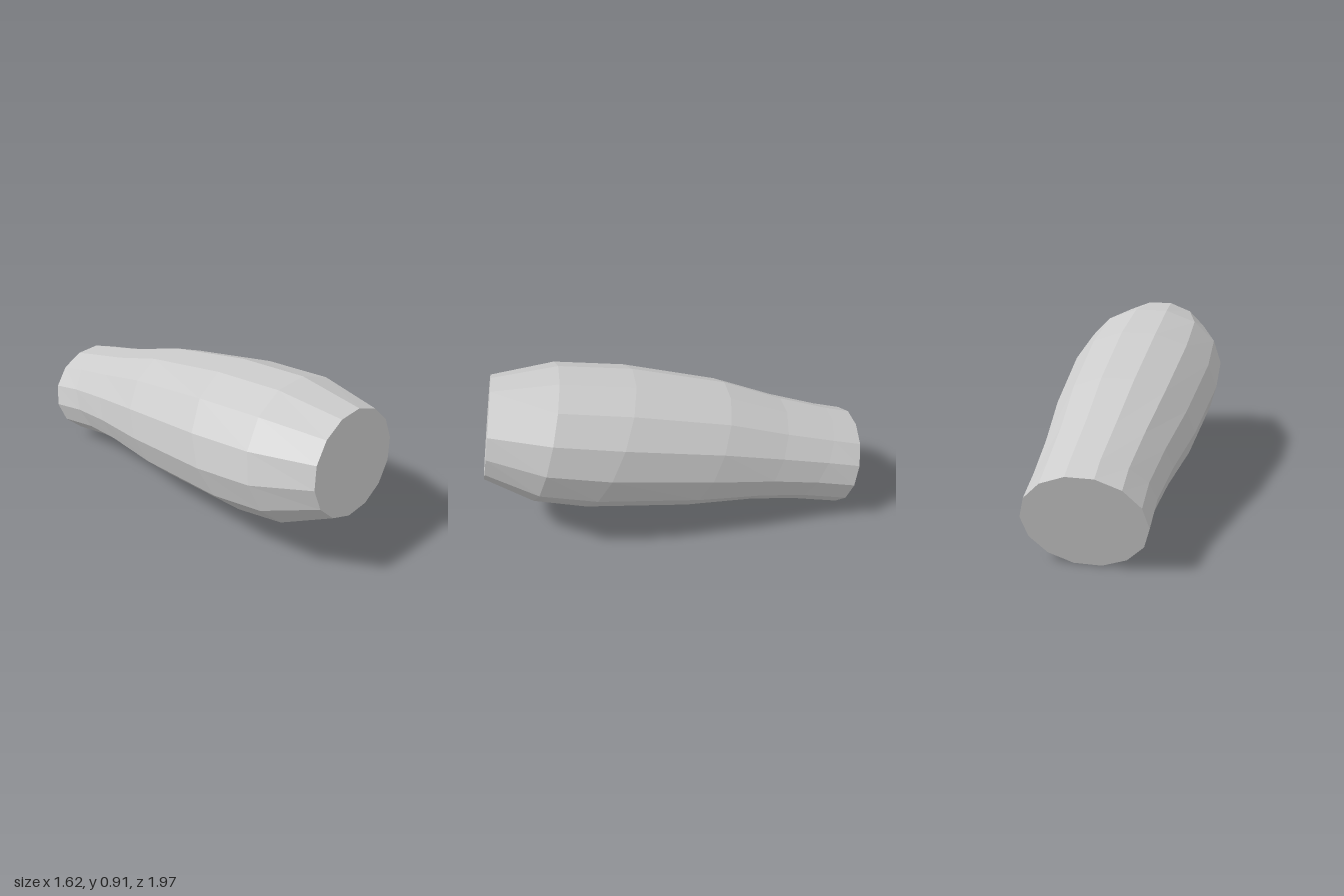
import * as THREE from 'three';

const SIDES = 14;
const ACROSS = new THREE.Vector3(0.818, 0, -0.575);
const ALONG = new THREE.Vector3(0.575, 0, 0.818);

// Leaning oval rings from the front end to the back end:
// [top height, bottom height, top along axis, bottom along axis, side offset, half width]
const RINGS = [
  [0.887, 0.38, 0.94, 1.035, -0.005, 0.305],
  [0.91, 0.24, 0.587, 0.8, -0.009, 0.42],
  [0.857, 0.172, 0.195, 0.54, -0.007, 0.432],
  [0.735, 0.102, -0.31, -0.02, 0, 0.387],
  [0.613, 0.09, -0.63, -0.39, 0.01, 0.335],
  [0.53, 0.062, -0.9, -0.63, 0.016, 0.308],
  [0.49, 0, -1.04, -0.92, 0.012, 0.306],
];

// Point on a ring: u runs across, v runs up (both -1 to 1)
function ringPoint([top, bottom, sTop, sBottom, offset, halfWidth], u, v) {
  const k = v / Math.cos(Math.PI / SIDES); // the flat top and bottom edges reach the given heights
  const s = (sTop + sBottom) / 2 + (k * (sTop - sBottom)) / 2;
  const p = new THREE.Vector3()
    .addScaledVector(ACROSS, offset + u * halfWidth)
    .addScaledVector(ALONG, s);
  p.y = (top + bottom) / 2 + (k * (top - bottom)) / 2;
  return p;
}

function limbGeometry() {
  const positions = [];
  const index = [];
  for (const ring of RINGS) {
    for (let j = 0; j < SIDES; j++) {
      const a = (j / SIDES) * Math.PI * 2;
      positions.push(...ringPoint(ring, Math.cos(a), Math.sin(a)).toArray());
    }
  }
  const last = RINGS.length - 1;
  const frontCentre = RINGS.length * SIDES;
  const backCentre = frontCentre + 1;
  positions.push(...ringPoint(RINGS[0], 0, 0).toArray(), ...ringPoint(RINGS[last], 0, 0).toArray());

  for (let j = 0; j < SIDES; j++) {
    const n = (j + 1) % SIDES;
    // Side wall
    for (let i = 0; i < last; i++) {
      const a = i * SIDES + j, b = i * SIDES + n;
      index.push(a, a + SIDES, b, a + SIDES, b + SIDES, b);
    }
    // End caps
    index.push(frontCentre, j, n);
    index.push(backCentre, last * SIDES + n, last * SIDES + j);
  }
  const geometry = new THREE.BufferGeometry();
  geometry.setAttribute('position', new THREE.Float32BufferAttribute(positions, 3));
  geometry.setIndex(index);
  geometry.computeVertexNormals();
  return geometry;
}

export function createModel() {
  const group = new THREE.Group();
  group.name = 'limbSegment';
  const material = new THREE.MeshStandardMaterial({ color: 0xcccccc, flatShading: true });
  const limb = new THREE.Mesh(limbGeometry(), material);
  limb.name = 'limb';
  group.add(limb);
  return group;
}
